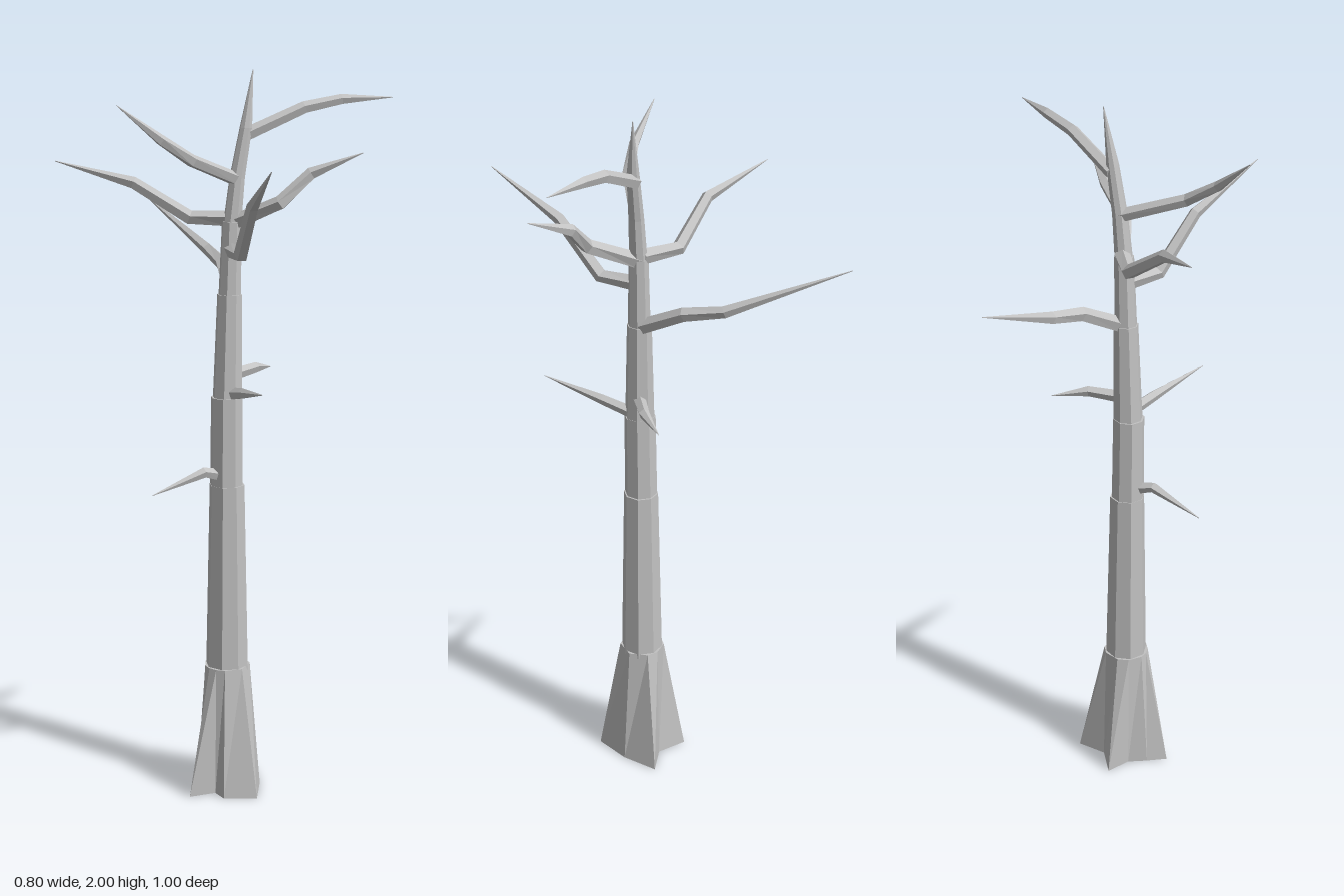
import * as THREE from 'three';

const V = (p) => new THREE.Vector3(...p);

// Skin a list of equal-length rings, closing both ends with fans.
function loft(rings) {
  const pos = [];
  const tri = (a, b, c) => pos.push(...a.toArray(), ...b.toArray(), ...c.toArray());
  const n = rings[0].length;
  for (let i = 0; i < rings.length - 1; i++) {
    for (let j = 0; j < n; j++) {
      const k = (j + 1) % n;
      const [a, b, c, d] = [rings[i][j], rings[i][k], rings[i + 1][k], rings[i + 1][j]];
      tri(a, b, c);
      tri(a, c, d);
    }
  }
  const centre = (r) => r.reduce((s, p) => s.add(p), new THREE.Vector3()).divideScalar(n);
  const first = rings[0], last = rings[rings.length - 1];
  const c0 = centre(first), c1 = centre(last);
  for (let j = 0; j < n; j++) {
    const k = (j + 1) % n;
    tri(c0, first[k], first[j]);
    tri(c1, last[j], last[k]);
  }
  const g = new THREE.BufferGeometry();
  g.setAttribute('position', new THREE.Float32BufferAttribute(pos, 3));
  g.computeVertexNormals();
  return g;
}

// Horizontal ring around the trunk axis.
function level(x, y, z, r, n = 8) {
  return Array.from({ length: n }, (_, j) => {
    const a = (j / n) * Math.PI * 2;
    return new THREE.Vector3(x + r * Math.sin(a), y, z + r * Math.cos(a));
  });
}

// Crooked tapering limb through the given points.
function limb(points, radii, sides = 5) {
  const pts = points.map(V);
  const rings = pts.map((p, i) => {
    const t = pts[Math.min(i + 1, pts.length - 1)].clone().sub(pts[Math.max(i - 1, 0)]).normalize();
    const u = new THREE.Vector3(0, 1, 0).addScaledVector(t, -t.y).normalize();
    const v = t.clone().cross(u);
    return Array.from({ length: sides }, (_, j) => {
      const a = (j / sides) * Math.PI * 2;
      return p.clone().addScaledVector(u, radii[i] * Math.cos(a)).addScaledVector(v, radii[i] * Math.sin(a));
    });
  });
  return loft(rings);
}

export function createModel() {
  const tree = new THREE.Group();
  tree.name = 'bareTree';
  const bark = new THREE.MeshStandardMaterial({ color: 0xc2c2c2, flatShading: true });
  bark.name = 'greyBark';
  const add = (name, geometry) => {
    const mesh = new THREE.Mesh(geometry, bark);
    mesh.name = name;
    tree.add(mesh);
  };

  // Flared root base: star-shaped footprint narrowing to a round collar
  const foot = [
    [-0.02, 0.197], [0.045, 0.11], [0.086, 0.01], [0.0, 0.012], [-0.06, -0.055],
    [-0.085, 0.015], [-0.13, 0.05], [-0.175, 0.09], [-0.1, 0.105], [-0.1, 0.15],
  ];
  const collar = foot.map(([x, z]) => {
    const a = Math.atan2(x + 0.04, z - 0.07);
    return new THREE.Vector3(-0.04 + 0.064 * Math.sin(a), 0.365, 0.07 + 0.064 * Math.cos(a));
  });
  add('rootFlare', loft([foot.map(([x, z]) => new THREE.Vector3(x, 0, z)), collar]));

  // Trunk sections, with a small step at each joint
  const sections = [
    [[-0.04, 0.35, 0.07, 0.06], [-0.04, 0.885, 0.07, 0.049]],
    [[-0.042, 0.87, 0.07, 0.046], [-0.042, 1.13, 0.072, 0.044]],
    [[-0.04, 1.12, 0.072, 0.041], [-0.032, 1.41, 0.07, 0.034]],
    [[-0.032, 1.4, 0.07, 0.031], [-0.025, 1.605, 0.07, 0.027]],
    [[-0.025, 1.59, 0.07, 0.025], [-0.01, 1.72, 0.072, 0.021], [0.015, 1.85, 0.075, 0.017], [0.04, 2.0, 0.07, 0.001]],
  ];
  sections.forEach((s, i) => add('trunkSection' + (i + 1), loft(s.map((r) => level(...r)))));

  // Long crown branches
  const branches = {
    backRightBranch: [[-0.025, 1.61, 0.06], [-0.1, 1.61, -0.025], [-0.24, 1.705, -0.08], [-0.4, 1.76, -0.22]],
    upperRightBranch: [[-0.01, 1.715, 0.07], [-0.18, 1.775, 0.125], [-0.27, 1.83, 0.125], [-0.38, 1.92, 0.09]],
    frontBranch: [[-0.03, 1.53, 0.07], [-0.065, 1.53, 0.18], [-0.105, 1.67, 0.3], [-0.18, 1.775, 0.5]],
    frontLeftBranch: [[-0.02, 1.6, 0.07], [0.05, 1.66, 0.19], [0.13, 1.735, 0.215], [0.235, 1.79, 0.3]],
    upperLeftBranch: [[0.015, 1.83, 0.07], [0.17, 1.9, 0.12], [0.27, 1.92, 0.15], [0.395, 1.925, 0.21]],
    backBranch: [[-0.02, 1.41, 0.06], [0.025, 1.475, -0.06], [0.045, 1.5, -0.17], [0.02, 1.63, -0.495]],
  };
  for (const [name, pts] of Object.entries(branches)) {
    const s = name.startsWith('upper') ? 0.85 : 1;
    add(name, limb(pts, [0.022, 0.02, 0.017, 0.001].map((r) => r * s)));
  }

  // Short twigs on the lower trunk
  const twigs = {
    leftTwig: [[-0.02, 1.19, 0.07], [0.07, 1.195, 0.04], [0.155, 1.18, -0.015]],
    rightTwig: [[-0.05, 0.91, 0.07], [-0.12, 0.93, 0.08], [-0.275, 0.885, 0.07]],
    frontTwig: [[-0.035, 1.14, 0.09], [-0.06, 1.16, 0.18], [-0.11, 1.193, 0.355]],
  };
  for (const [name, pts] of Object.entries(twigs)) add(name, limb(pts, [0.018, 0.015, 0.001]));

  return tree;
}
